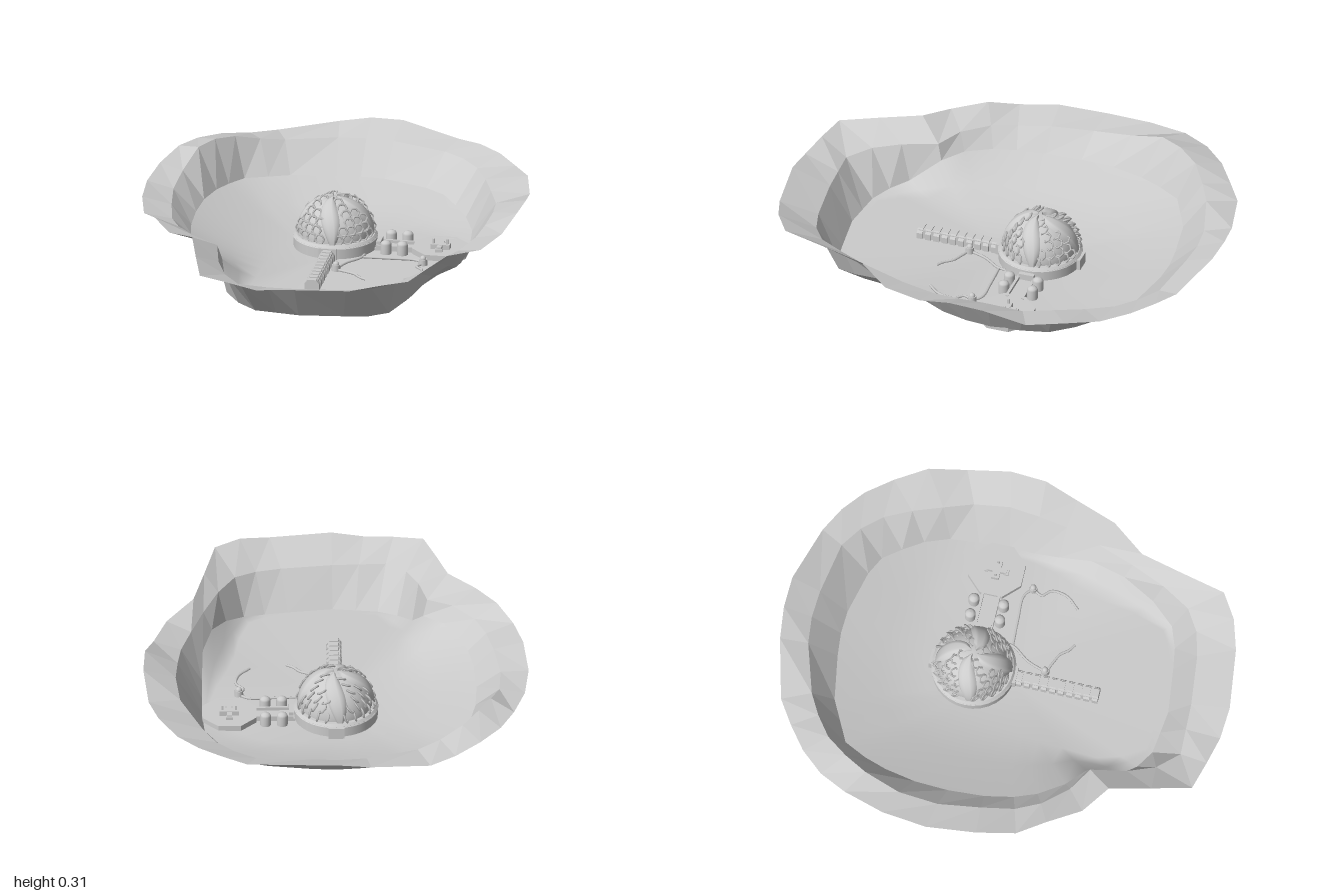
import * as THREE from 'three';

const grey = new THREE.MeshStandardMaterial({ color: 0xcccccc });
const rock = new THREE.MeshStandardMaterial({ color: 0xcccccc, flatShading: true, side: THREE.DoubleSide });
const ground = new THREE.MeshStandardMaterial({ color: 0xcccccc, side: THREE.DoubleSide });
const FLOOR = 0.028;

// Crater loops, clockwise from the back: x, z, y
const RIM = [
  [0, -1, .3], [.14, -.995, .3], [.4, -.92, .26], [.51, -.86, .265], [.61, -.78, .26], [.7, -.67, .25], [.78, -.535, .26],
  [.82, -.37, .24], [.84, -.18, .285], [.83, -.02, .285], [.79, .13, .24], [.73, .31, .23], [.61, .46, .25], [.56, .65, .26],
  [.51, .85, .27], [.4, .92, .27], [.27, .96, .25], [0, .995, .25], [-.14, .985, .235], [-.27, .955, .25], [-.4, .92, .26],
  [-.45, .75, .28], [-.5, .57, .3], [-.62, .48, .28], [-.71, .34, .29], [-.78, .22, .26], [-.82, .05, .27], [-.84, -.17, .26],
  [-.82, -.37, .27], [-.77, -.55, .285], [-.71, -.67, .28], [-.62, -.77, .27], [-.51, -.85, .25], [-.4, -.92, .245],
  [-.14, -.985, .28]];
const CREST = [
  [0, -.875, .25], [.22, -.86, .25], [.38, -.82, .23], [.48, -.74, .23], [.56, -.64, .22], [.61, -.5, .22], [.68, -.32, .21],
  [.7, -.17, .23], [.68, .08, .21], [.61, .31, .2], [.56, .45, .2], [.47, .65, .21], [.41, .73, .2], [.3, .785, .19],
  [.08, .82, .19], [-.24, .83, .19], [-.36, .7, .21], [-.4, .47, .23], [-.5, .42, .24], [-.6, .32, .24], [-.66, .19, .23],
  [-.69, .05, .24], [-.72, -.16, .24], [-.71, -.32, .26], [-.66, -.52, .325], [-.55, -.67, .3], [-.39, -.78, .25], [-.15, -.86, .25]];
const FOOT = [
  [0, -.745, .12], [.2, -.735, .12], [.38, -.66, .1], [.5, -.52, .07], [.56, -.4, .045], [.585, -.18, FLOOR], [.58, .06, .04],
  [.58, .2, .11], [.56, .33, .14], [.51, .45, .12], [.44, .6, .06], [.36, .67, FLOOR], [.17, .7, FLOOR], [0, .72, FLOOR],
  [-.24, .69, FLOOR], [-.36, .56, .06], [-.385, .45, .16], [-.47, .38, .17], [-.54, .28, .165], [-.59, .14, .155],
  [-.61, 0, .15], [-.615, -.17, .15], [-.6, -.35, .15], [-.51, -.6, .13], [-.27, -.72, .12]];
const FLAT = [
  [0, -.37], [.3, -.37], [.5, -.25], [.56, -.1], [.52, .08], [.45, .26], [.42, .4], [.4, .58], [.33, .64], [0, .69],
  [-.2, .66], [-.28, .5], [-.26, .2], [-.22, -.1], [-.15, -.33]].map(([x, z]) => [x, z, FLOOR]);

// Point where a ray from the centre crosses a loop
function crossLoop(loop, dx, dz) {
  for (let i = 0; i < loop.length; i++) {
    const a = loop[i], b = loop[(i + 1) % loop.length];
    const ca = dx * a[1] - dz * a[0], cb = dx * b[1] - dz * b[0];
    if (ca * cb > 0 || ca === cb) continue;
    const t = ca / (ca - cb), p = a.map((v, k) => v + (b[k] - v) * t);
    if (p[0] * dx + p[1] * dz > 0) return p;
  }
  return loop[0];
}

function indexed(pos, index) {
  const g = new THREE.BufferGeometry();
  g.setAttribute('position', new THREE.Float32BufferAttribute(pos, 3));
  g.setIndex(index);
  g.computeVertexNormals();
  return g;
}

// Skin between closed rings of x, z, y points, outermost first
function loft(rings) {
  const n = rings[0].length, index = [];
  for (let r = 0; r < rings.length - 1; r++)
    for (let i = 0; i < n; i++) {
      const a = r * n + i, b = r * n + (i + 1) % n, c = a + n, d = b + n;
      index.push(a, c, b, b, c, d);
    }
  return indexed(rings.flat().flatMap(([x, z, y]) => [x, y, z]), index);
}

function add(parent, name, geo, x = 0, y = 0, z = 0, mat = grey) {
  const m = new THREE.Mesh(geo, mat);
  m.name = name;
  m.position.set(x, y, z);
  parent.add(m);
  return m;
}
const box = (w, h, d) => new THREE.BoxGeometry(w, h, d);

// Flat plate from an x, z outline, rising from its base
function plate(pts, h, hole) {
  const shape = new THREE.Shape(pts.map(([x, z]) => new THREE.Vector2(x, -z)));
  if (hole) shape.holes.push(new THREE.Path(hole.map(([x, z]) => new THREE.Vector2(x, -z))));
  return new THREE.ExtrudeGeometry(shape, { depth: h, bevelEnabled: false }).rotateX(-Math.PI / 2);
}
const octagon = r => Array.from({ length: 8 }, (_, i) => {
  const a = (i + .5) * Math.PI / 4;
  return [r * Math.cos(a), r * Math.sin(a)];
});

const onSphere = (r, lat, az) => new THREE.Vector3(
  r * Math.cos(lat) * Math.sin(az), r * Math.sin(lat), r * Math.cos(lat) * Math.cos(az));

// Four swirling lens-shaped blades: centre line and half width by latitude
const QUARTER = Math.PI / 2;
const bladeAz = lat => .1 - .6 * (lat / 1.5) ** 2;
const bladeHalf = lat => .27 * Math.sin(Math.PI * (.12 + .8 * lat / 1.5)) / Math.max(Math.cos(lat), .3);

function bladeGeometry(az0) {
  const pos = [], index = [], N = 20, M = 6;
  for (let i = 0; i <= N; i++) {
    const lat = i / N * 1.5;
    for (let j = 0; j <= M; j++) {
      const s = j / M * 2 - 1;
      const p = onSphere(Math.abs(s) === 1 ? .158 : .17, lat, az0 + bladeAz(lat) + s * bladeHalf(lat));
      pos.push(p.x, p.y, p.z);
      if (i < N && j < M) {
        const a = i * (M + 1) + j, b = a + M + 1;
        index.push(a, a + 1, b, b, a + 1, b + 1);
      }
    }
  }
  return indexed(pos, index);
}

function makeDome() {
  const dome = new THREE.Group();
  dome.name = 'dome';
  dome.position.set(0, 0, -.15);
  add(dome, 'domeBase', new THREE.CylinderGeometry(.183, .183, .05, 32), 0, .055);
  add(dome, 'domeLedge', new THREE.CylinderGeometry(.174, .186, .014, 32), 0, .083);
  add(dome, 'domeShell', new THREE.SphereGeometry(.158, 40, 14, 0, Math.PI * 2, 0, Math.PI / 2), 0, .09);
  // honeycomb frames in staggered rows, only between the blades
  const cell = new THREE.TorusGeometry(.021, .005, 4, 6);
  for (let row = 0; row < 6; row++) {
    const lat = .12 + row * .225, count = Math.round(6 * Math.cos(lat)) * 4;
    for (let i = 0; i < count; i++) {
      const az = (i + (row % 2) / 2) / count * Math.PI * 2;
      const offset = (az - bladeAz(lat)) / QUARTER;
      if (Math.abs(offset - Math.round(offset)) * QUARTER < bladeHalf(lat)) continue;
      const p = onSphere(.162, lat, az);
      add(dome, 'honeycombCell', cell, p.x, p.y + .09, p.z).lookAt(p.x * 2, p.y * 2 + .09, p.z * 2);
    }
  }
  for (let i = 0; i < 4; i++) add(dome, 'domeBlade', bladeGeometry(i * QUARTER), 0, .09, 0, ground);
  add(dome, 'rearDoor', box(.07, .06, .035), 0, .048, -.178);
  return dome;
}

export function createModel() {
  const model = new THREE.Group();
  model.name = 'craterBase';

  // crater terrain: rim and wall faceted, bowl smooth
  const ring = loop => RIM.map(([x, z]) => crossLoop(loop, x, z));
  const crest = ring(CREST), foot = ring(FOOT), flat = ring(FLAT);
  const mid = foot.map((p, i) => p.map((v, k) => (v + flat[i][k]) / 2 - (k === 2 ? (p[2] - FLOOR) * .1 : 0)));
  add(model, 'craterRim', loft([RIM, crest]), 0, 0, 0, rock);
  add(model, 'craterWall', loft([crest, foot]), 0, 0, 0, rock);
  add(model, 'craterFloor', loft([foot, mid, flat, flat.map(() => [0, 0, FLOOR])]), 0, 0, 0, ground);

  model.add(makeDome());

  // ribbed corridor leading forward
  const corridor = new THREE.Group();
  corridor.name = 'corridor';
  model.add(corridor);
  add(corridor, 'corridorBody', box(.05, .05, .37), 0, .045, .22);
  const arch = [[-.033, 0], [.033, 0], [.033, .035], [.018, .054], [-.018, .054], [-.033, .035]];
  const rib = new THREE.ExtrudeGeometry(new THREE.Shape(arch.map(p => new THREE.Vector2(...p))), { depth: .026, bevelEnabled: false });
  for (let i = 0; i < 10; i++) add(corridor, 'corridorRib', rib, 0, .021, .042 + i * .038);
  add(corridor, 'corridorDoor', box(.08, .05, .03), 0, .055, .028);

  // octagonal landing pad with its cross-shaped craft
  const pad = new THREE.Group();
  pad.name = 'landingPad';
  pad.position.set(.465, 0, -.155);
  model.add(pad);
  add(pad, 'padDeck', plate(octagon(.128), .025), 0, .018);
  add(pad, 'padKerb', plate(octagon(.128), .01, octagon(.112)), 0, .043);
  add(pad, 'craftBody', box(.085, .022, .034), 0, .054);
  add(pad, 'craftSpine', box(.022, .02, .09), 0, .053);
  for (const s of [-1, 1]) {
    add(pad, 'craftPod', box(.03, .014, .016), 0, .05, s * .045);
    add(pad, 'craftFin', box(.008, .03, .012), s * .03, .072);
  }

  // walkway from dome to pad, flanked by domed tanks
  add(model, 'walkway', box(.18, .015, .08), .27, .032, -.155);
  const tank = new THREE.LatheGeometry([[.024, 0], [.024, .05], [.02, .058], [.012, .064], [0, .066]]
    .map(p => new THREE.Vector2(...p)), 16);
  for (const s of [-1, 1]) {
    add(model, 'walkwayRail', box(.17, .022, .012), .27, .042, -.155 + s * .036);
    for (const x of [.235, .308]) add(model, 'storageTank', tank, x, .022, -.155 + s * .066);
  }
  add(model, 'walkwayGate', box(.02, .045, .07), .195, .045, -.155);

  // shallow basin bulging below the floor, with feed pipes and end valves
  const basin = [[.15, -.01], [.4, -.005], [.41, .05], [.44, .1], [.425, .17], [.37, .23], [.3, .255], [.21, .255], [.13, .2], [.06, .16], [.09, .07]];
  const basinRing = (s, y) => basin.map(([x, z]) => [.25 + (x - .25) * s, .125 + (z - .125) * s, y]);
  add(model, 'basin', loft([basinRing(1, FLOOR), basinRing(.95, .012), basinRing(.75, 0), basinRing(0, 0)]), 0, 0, 0, rock);
  const pipe = pts => new THREE.TubeGeometry(
    new THREE.CatmullRomCurve3(pts.map(([x, z]) => new THREE.Vector3(x, .034, z))), 32, .006, 6);
  add(model, 'feedPipe', pipe([[.15, -.04], [.14, .0], [.09, .07], [.06, .15]]));
  add(model, 'feedPipe', pipe([[.06, .16], [.11, .18], [.15, .2], [.18, .235], [.21, .255]]));
  add(model, 'feedPipe', pipe([[.15, -.01], [.27, -.015], [.38, -.015], [.42, .015]]));
  add(model, 'feedPipe', pipe([[.42, .02], [.4, .06], [.43, .1], [.42, .17], [.37, .23]]));
  for (const [x, z] of [[.06, .155], [.42, .018]]) {
    add(model, 'valve', new THREE.CylinderGeometry(.018, .02, .03, 12), x, .04, z);
    add(model, 'valveCap', new THREE.SphereGeometry(.014, 12, 8), x, .056, z);
  }
  return model;
}
